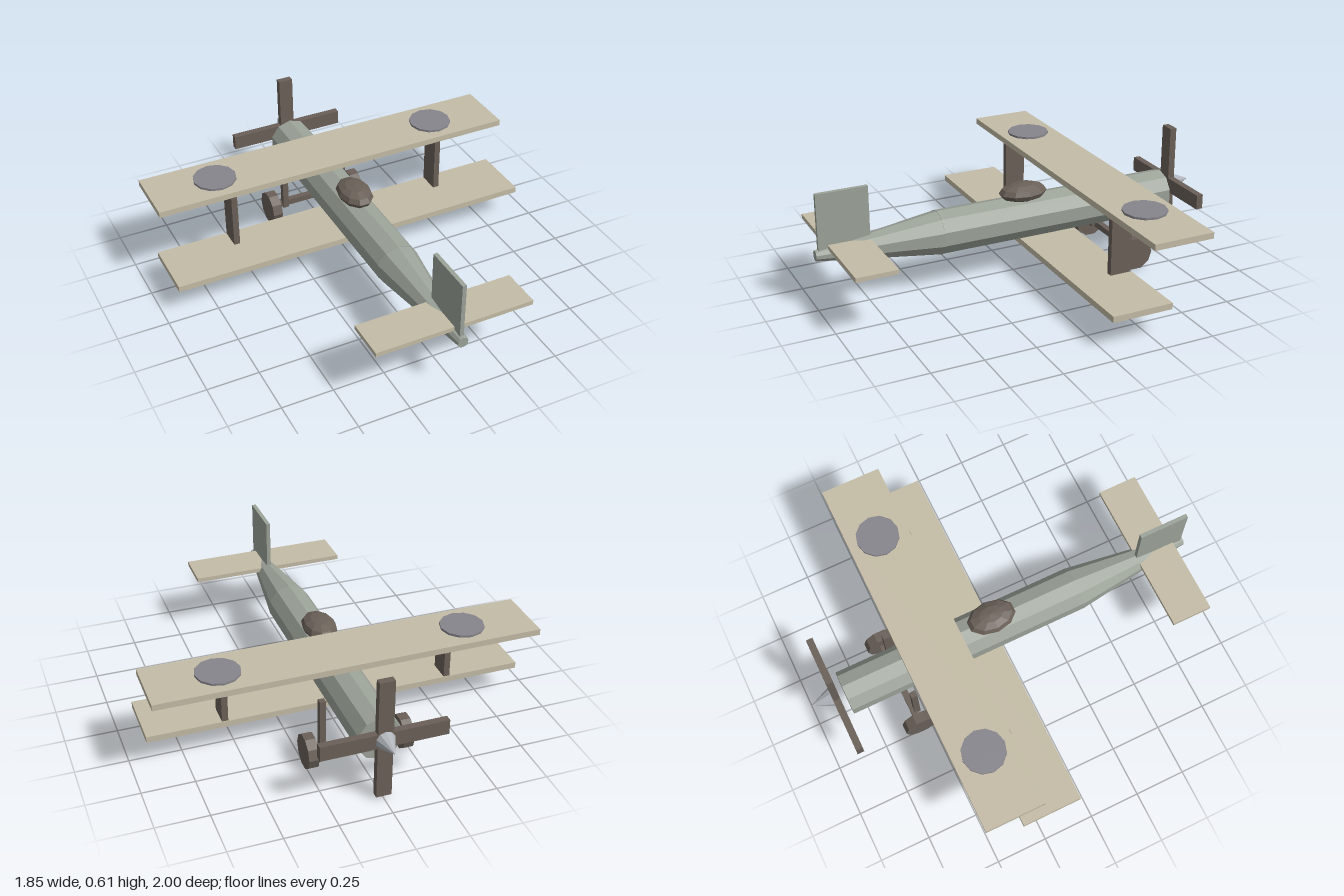
import * as THREE from 'three';

const paint = (color) => new THREE.MeshStandardMaterial({ color, flatShading: true });

export function createModel() {
  const plane = new THREE.Group();
  plane.name = 'biplane';
  const canvas = paint(0xc4bca6), hull = paint(0x9ca399), wood = paint(0x6a6058);
  const roundel = paint(0x86858c), metal = paint(0xb0b4ba);

  const add = (name, geometry, material, x, y, z) => {
    const mesh = new THREE.Mesh(geometry, material);
    mesh.name = name;
    mesh.position.set(x, y, z);
    plane.add(mesh);
    return mesh;
  };
  const box = (name, material, w, h, d, x, y, z) =>
    add(name, new THREE.BoxGeometry(w, h, d), material, x, y, z);
  // Cylinder lying along z; rFront is the end towards -z
  const alongZ = (name, material, rFront, rBack, z0, z1, y) =>
    add(name, new THREE.CylinderGeometry(rFront, rBack, z1 - z0, 10).rotateX(-Math.PI / 2),
      material, 0, y, (z0 + z1) / 2);

  // Fuselage and tapering tail
  alongZ('fuselage', hull, 0.108, 0.108, -0.83, 0.4, 0.282);
  alongZ('tailCone', hull, 0.108, 0.026, 0.4, 1, 0.28);

  // Cockpit bubble
  const cockpit = add('cockpit', new THREE.SphereGeometry(1, 10, 6), wood, 0, 0.41, -0.052);
  cockpit.scale.set(0.082, 0.046, 0.123);

  // Staggered wings
  box('upperWing', canvas, 1.85, 0.03, 0.3, 0, 0.457, -0.375);
  box('lowerWing', canvas, 1.85, 0.03, 0.3, 0, 0.155, -0.18);

  // Tail surfaces
  box('tailplane', canvas, 0.78, 0.022, 0.2, 0, 0.315, 0.84);
  box('fin', hull, 0.02, 0.28, 0.25, 0, 0.44, 0.86);

  // Propeller and spinner
  box('bladeHorizontal', wood, 0.6, 0.073, 0.034, 0, 0.315, -0.877);
  box('bladeVertical', wood, 0.073, 0.6, 0.034, 0, 0.315, -0.877);
  alongZ('spinner', metal, 0, 0.05, -1, -0.886, 0.315);

  // Paired parts: wing struts, wing discs, gear legs and wheels
  for (const [side, s] of [['left', 1], ['right', -1]]) {
    box(side + 'WingStrut', wood, 0.03, 0.275, 0.105, s * 0.555, 0.306, -0.273);
    add(side + 'WingDisc', new THREE.CylinderGeometry(0.106, 0.106, 0.012, 12),
      roundel, s * 0.592, 0.477, -0.375);
    box(side + 'GearLeg', wood, 0.03, 0.26, 0.03, s * 0.163, 0.202, -0.541);
    add(side + 'Wheel', new THREE.CylinderGeometry(0.084, 0.084, 0.05, 10).rotateZ(Math.PI / 2),
      wood, s * 0.232, 0.081, -0.553);
  }
  box('axle', wood, 0.44, 0.03, 0.03, 0, 0.085, -0.559);

  return plane;
}
